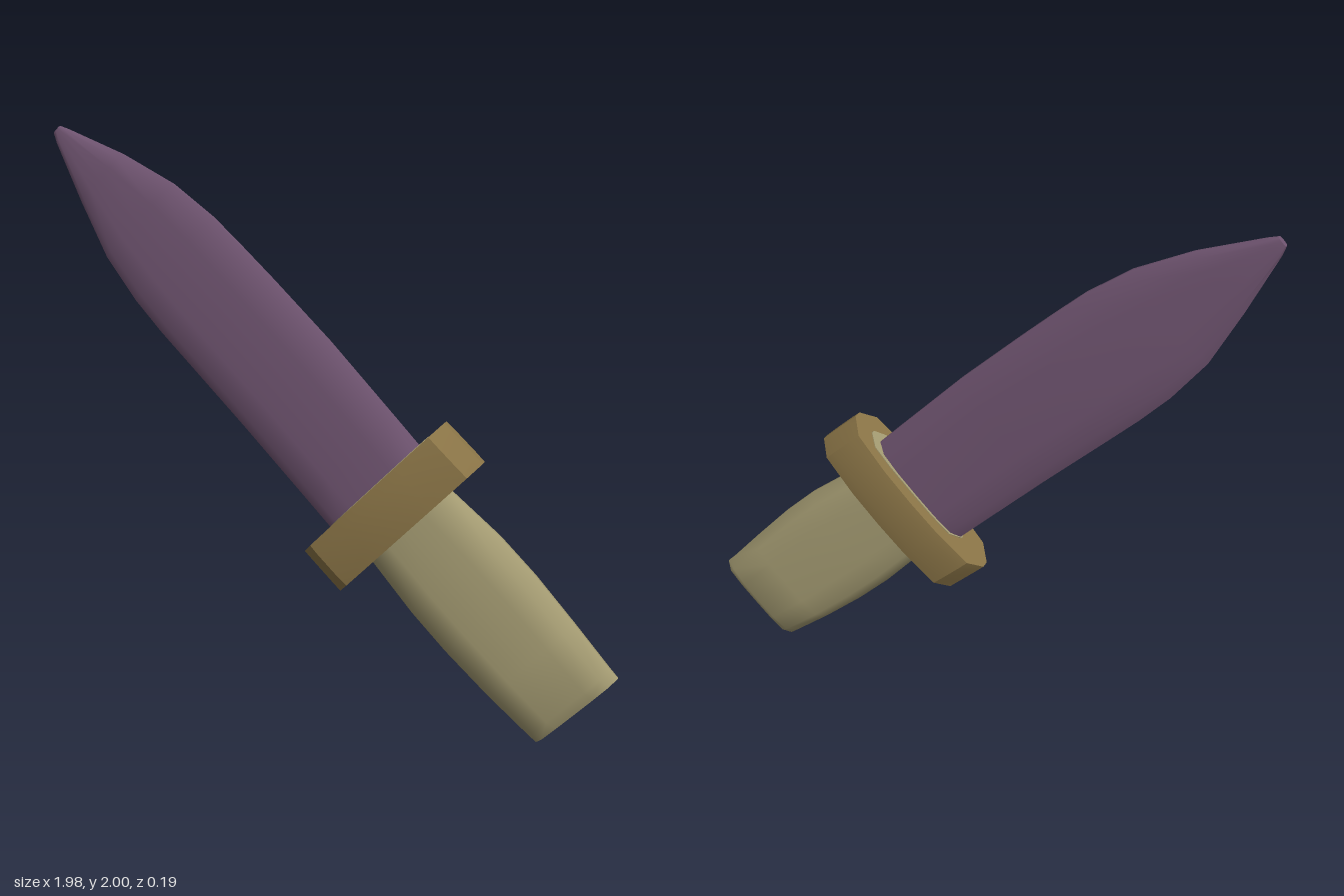
import * as THREE from 'three';
import { toCreasedNormals } from 'three/addons/utils/BufferGeometryUtils.js';

// Mirror a quarter outline (widest point first, then towards +z) into a closed ring.
function ring(quarter) {
  const half = [...quarter, ...quarter.filter((p) => p[0] > 0).reverse().map(([x, z]) => [-x, z])];
  return [...half, ...half.filter((p) => p[1] > 0).reverse().map(([x, z]) => [x, -z])];
}

// Loft a ring along y. Each section is [y, xMin, xMax, zCentre, halfThickness].
function loft(profile, sections, crease) {
  const n = profile.length, pos = [], index = [];
  for (const [y, x0, x1, zc, t] of sections) {
    for (const [px, pz] of profile) {
      pos.push((x0 + x1) / 2 + px * (x1 - x0) / 2, y, zc + pz * t);
    }
  }
  for (let s = 0; s < sections.length - 1; s++) {
    for (let i = 0; i < n; i++) {
      const a = s * n + i, b = s * n + (i + 1) % n;
      index.push(a, a + n, b, b, a + n, b + n);
    }
  }
  // end caps
  const last = sections.length - 1;
  for (const s of [0, last]) {
    const [y, x0, x1, zc] = sections[s], c = pos.length / 3;
    pos.push((x0 + x1) / 2, y, zc);
    for (let i = 0; i < n; i++) {
      const a = s * n + i, b = s * n + (i + 1) % n;
      index.push(c, ...(s ? [b, a] : [a, b]));
    }
  }
  const g = new THREE.BufferGeometry();
  g.setAttribute('position', new THREE.Float32BufferAttribute(pos, 3));
  g.setIndex(index);
  return toCreasedNormals(g, crease);
}

export function createModel() {
  const material = (name, color) => Object.assign(new THREE.MeshStandardMaterial({ color }), { name });
  const purple = material('purple blade', 0x6f5470);
  const bronze = material('bronze guard', 0x8b7547);
  const tan = material('tan grip', 0xa49b72);

  const model = new THREE.Group();
  model.name = 'dagger';
  const add = (name, geometry, mat) => {
    const mesh = new THREE.Mesh(geometry, mat);
    mesh.name = name;
    model.add(mesh);
  };

  // Blade: flat middle, narrow bevels, leaf-shaped tip
  const bladeRing = ring([[1, 0.2], [0.82, 0.8], [0.45, 0.97], [0, 1]]);
  add('blade', loft(bladeRing, [
    [0.42, 0.484, 0.914, 0.002, 0.046],
    [0.6, 0.489, 0.921, 0.003, 0.043],
    [0.93, 0.497, 0.932, 0.004, 0.041],
    [1.21, 0.5, 0.93, 0.005, 0.039],
    [1.36, 0.502, 0.927, 0.007, 0.037],
    [1.5, 0.51, 0.922, 0.008, 0.034],
    [1.675, 0.538, 0.897, 0.01, 0.029],
    [1.87, 0.606, 0.836, 0.013, 0.022],
    [2.07, 0.684, 0.75, 0.015, 0.014],
    [2.1, 0.7, 0.735, 0.015, 0.009],
  ], 0.95), purple);

  // Crossguard: bulging bar with pointed ends
  const guardRing = ring([[1, 0.16], [0.84, 0.76], [0.4, 0.96], [0, 1]]);
  add('guard', loft(guardRing, [
    [0.296, 0.354, 1.043, 0, 0.087],
    [0.34, 0.354, 1.043, 0, 0.093],
    [0.44, 0.354, 1.041, 0, 0.093],
    [0.478, 0.354, 1.039, 0, 0.087],
  ], 0.6), bronze);

  // Grip: rounded slab swelling in the middle, bevelled pommel end
  const gripRing = ring([[1, 0.12], [0.82, 0.82], [0.45, 0.98], [0, 1]]);
  add('grip', loft(gripRing, [
    [-0.515, 0.515, 0.885, -0.006, 0.036],
    [-0.475, 0.512, 0.886, -0.006, 0.059],
    [-0.29, 0.498, 0.9, -0.006, 0.062],
    [-0.09, 0.491, 0.912, -0.006, 0.064],
    [0.08, 0.494, 0.912, -0.006, 0.064],
    [0.3, 0.512, 0.892, -0.006, 0.062],
  ], 0.95), tan);

  // Tang collar showing beside the blade root
  add('tangCollar', loft(gripRing, [
    [0.4, 0.48, 0.96, 0, 0.05],
    [0.481, 0.48, 0.96, 0, 0.05],
  ], 0.6), tan);

  // Lean the whole dagger to the diagonal
  model.rotation.z = Math.PI / 4;
  const root = new THREE.Group();
  root.name = 'daggerRoot';
  root.add(model);
  return root;
}
